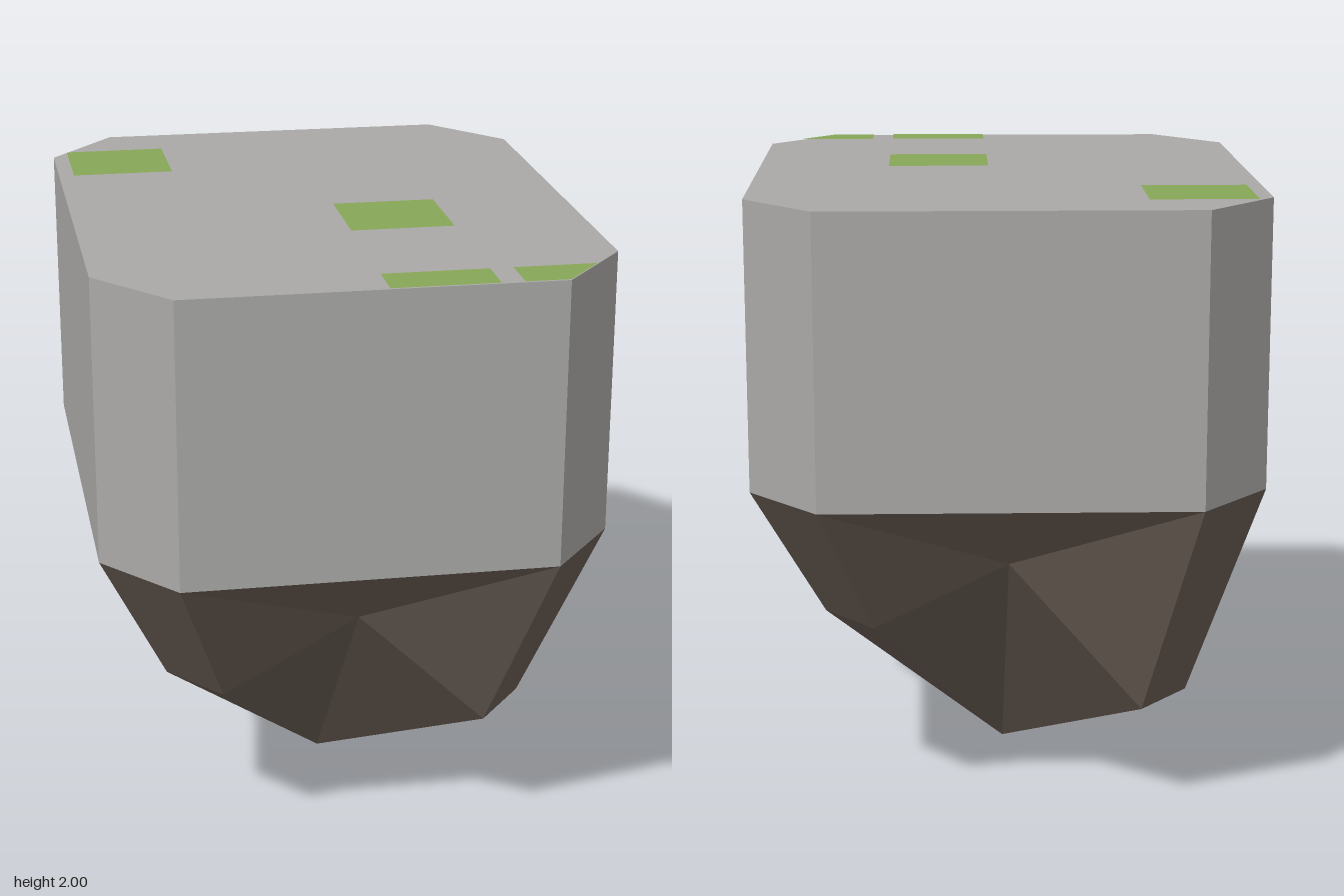
import * as THREE from 'three';

const WAIST = 1.08, TOP = 2, DIMPLE_Y = 0.855;

// plan outline as [x, z], starting at the front and turning towards +x
const outline = [
  [0.59, 1], [0.81, 0.73], [0.81, -0.73], [0.59, -1],
  [-0.59, -1], [-0.81, -0.73], [-0.81, 0.73], [-0.59, 1],
];
// height of the lower chamfer edge at each of the four corners
const cornerY = [0.43, 0.63, 0.35, 0.59];
// hollow point in the middle of each broad side: right, back, left, front
const dimples = [[0.63, 0], [0, -0.78], [-0.63, 0], [0, 0.78]];

function planShape(points) {
  return new THREE.Shape(points.map(([x, z]) => new THREE.Vector2(x, -z)));
}

// faceted point below the block
function rockGeometry() {
  const pos = [];
  const tri = (a, b, c) => pos.push(...a, ...b, ...c);
  const apex = [0, 0, 0];
  const rim = outline.map(([x, z]) => [x, WAIST, z]);
  const low = outline.map(([x, z], i) => [x * 0.725, cornerY[i >> 1], z * 0.725]);
  for (let c = 0; c < 4; c++) {
    const a = 2 * c, b = a + 1, n = (a + 2) % 8;
    const d = [dimples[c][0], DIMPLE_Y, dimples[c][1]];
    // chamfered corner
    tri(low[a], low[b], rim[b]);
    tri(low[a], rim[b], rim[a]);
    tri(apex, low[b], low[a]);
    // hollowed broad side
    tri(rim[b], d, rim[n]);
    tri(rim[b], low[b], d);
    tri(d, low[n], rim[n]);
    tri(apex, d, low[b]);
    tri(apex, low[n], d);
  }
  const g = new THREE.BufferGeometry();
  g.setAttribute('position', new THREE.Float32BufferAttribute(pos, 3));
  g.computeVertexNormals();
  return g;
}

export function createModel() {
  const stone = new THREE.MeshStandardMaterial({ color: 0xaaa9a7 });
  stone.name = 'stone grey';
  const earth = new THREE.MeshStandardMaterial({ color: 0x695d54 });
  earth.name = 'earth brown';
  const grass = new THREE.MeshStandardMaterial({ color: 0x86a657 });
  grass.name = 'grass green';

  const group = new THREE.Group();
  group.name = 'floatingIsland';
  const add = (name, geometry, material) => {
    const mesh = new THREE.Mesh(geometry, material);
    mesh.name = name;
    group.add(mesh);
    return mesh;
  };

  // eight-sided stone block
  const block = new THREE.ExtrudeGeometry(planShape(outline), { depth: TOP - WAIST, bevelEnabled: false });
  block.rotateX(-Math.PI / 2);
  add('stoneBlock', block, stone).position.y = WAIST;

  add('rockUnderside', rockGeometry(), earth);

  // grass patches lying on the top, two of them cut off by the edge
  const patches = [
    [[-0.76, -0.46], [-0.425, -0.46], [-0.425, -0.787], [-0.76, -0.787]],
    [[0.045, 0.375], [0.378, 0.375], [0.378, 0.05], [0.045, 0.05]],
    [[0.045, 1], [0.378, 1], [0.378, 0.852], [0.045, 0.852]],
    [[0.45, 1], [0.59, 1], [0.71, 0.852], [0.45, 0.852]],
  ];
  patches.forEach((points, i) => {
    const g = new THREE.ShapeGeometry(planShape(points));
    g.rotateX(-Math.PI / 2);
    add('grassPatch' + (i + 1), g, grass).position.y = TOP + 0.003;
  });

  return group;
}
